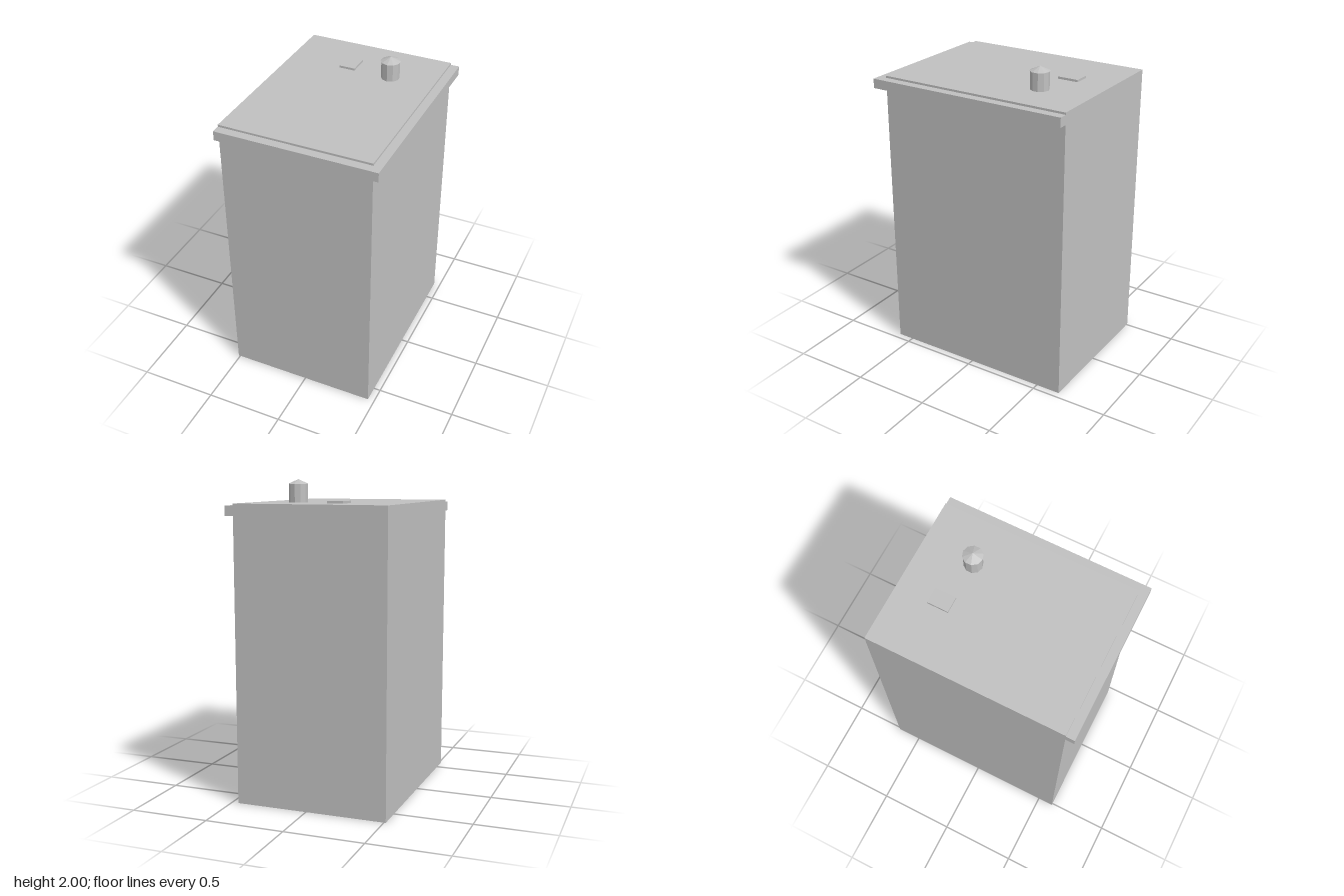
import * as THREE from 'three';

const stone = new THREE.MeshStandardMaterial({ color: 0xc0c0c0, side: THREE.DoubleSide, flatShading: true });
stone.name = 'grey';

// Box given by its limits; faces listed in skip are left out (0 +x, 1 -x, 2 +y, 3 -y, 4 +z, 5 -z)
function box(name, [x0, x1], [y0, y1], [z0, z1], skip = []) {
  const geo = new THREE.BoxGeometry(x1 - x0, y1 - y0, z1 - z0);
  const index = Array.from(geo.index.array).filter((_, i) => !skip.includes(Math.floor(i / 6)));
  geo.setIndex(index);
  geo.clearGroups();
  geo.translate((x0 + x1) / 2, (y0 + y1) / 2, (z0 + z1) / 2);
  const mesh = new THREE.Mesh(geo, stone);
  mesh.name = name;
  return mesh;
}

export function createModel() {
  const model = new THREE.Group();
  model.name = 'building';

  const left = -0.512, right = 0.457, back = -0.66, front = 0.605;
  const eaveX = 0.512, eaveZ = 0.66, corniceY = [1.785, 1.845];

  // Hollow block, open underneath
  model.add(box('body', [left, right], [0, 1.858], [back, front], [3]));

  // Cornice runs along the front and one side, open underneath, mitred into one L
  const cornice = new THREE.Group();
  cornice.name = 'cornice';
  cornice.add(box('frontCornice', [left, eaveX], corniceY, [front, eaveZ], [3, 5]));
  cornice.add(box('sideCornice', [right, eaveX], corniceY, [back, front], [1, 3, 4]));
  model.add(cornice);

  // Roof hatch
  model.add(box('roofHatch', [-0.163, -0.061], [1.858, 1.872], [-0.447, -0.312], [3]));

  // Ten-sided roof vent with a shallow conical cap
  const vent = new THREE.Group();
  vent.name = 'roofVent';
  const pipe = new THREE.Mesh(new THREE.CylinderGeometry(0.058, 0.058, 0.114, 10, 1, true), stone);
  pipe.name = 'ventPipe';
  pipe.position.y = 1.915;
  const cap = new THREE.Mesh(new THREE.ConeGeometry(0.063, 0.028, 10), stone);
  cap.name = 'ventCap';
  cap.position.y = 1.986;
  vent.add(pipe, cap);
  vent.position.set(0.176, 0, -0.325);
  model.add(vent);

  return model;
}
